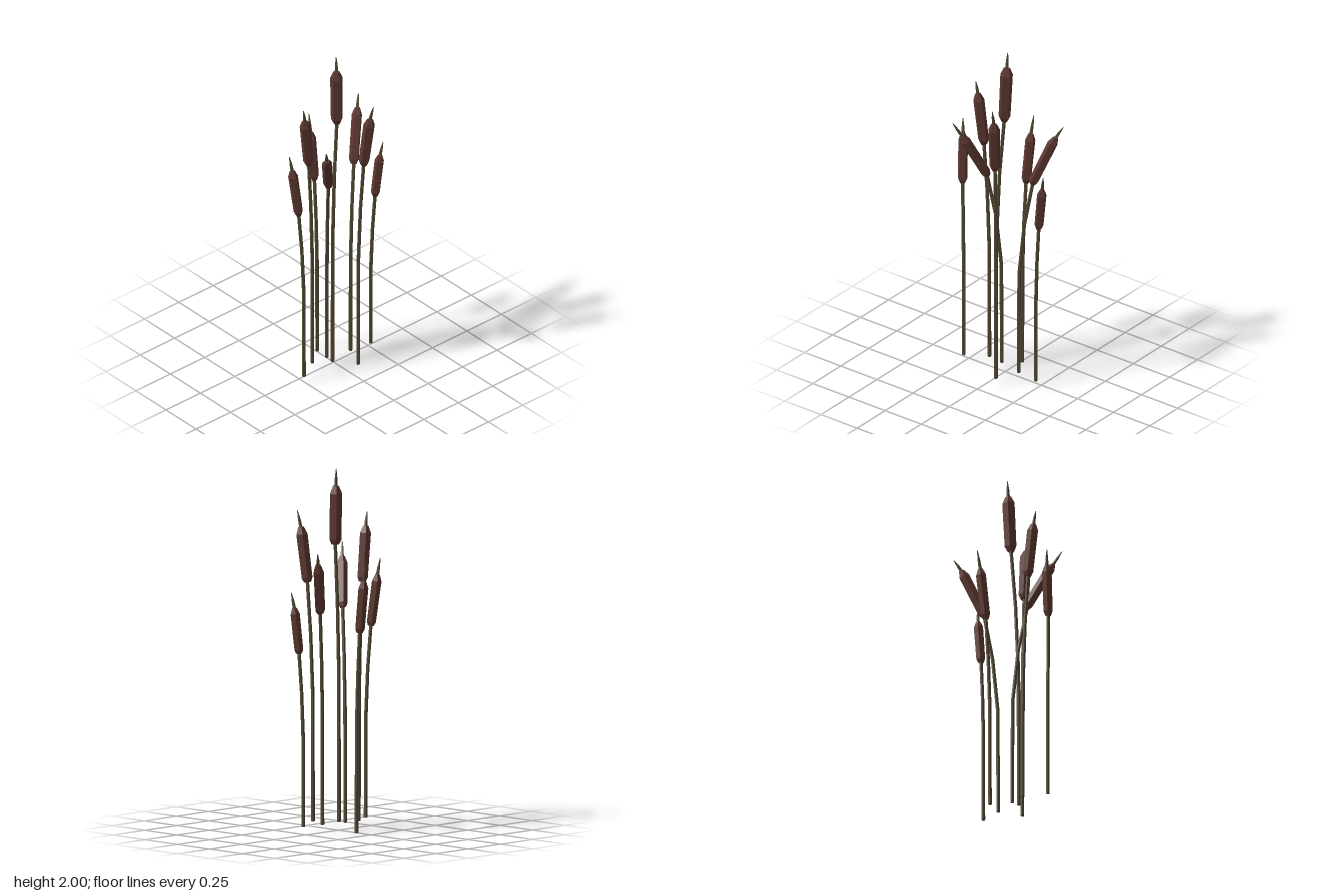
import * as THREE from 'three';

const SIDES = 5;

// Faceted tube through rings of { p, r }, capped at both ends
function sweep(rings) {
  const pos = [], idx = [];
  const n = rings.length;
  rings.forEach(({ p, r }, i) => {
    const t = rings[Math.min(i + 1, n - 1)].p.clone().sub(rings[Math.max(i - 1, 0)].p).normalize();
    const u = new THREE.Vector3(0, 0, 1).addScaledVector(t, -t.z).normalize();
    const v = t.clone().cross(u);
    for (let j = 0; j < SIDES; j++) {
      const a = (j / SIDES) * Math.PI * 2;
      const q = p.clone().addScaledVector(u, Math.cos(a) * r).addScaledVector(v, Math.sin(a) * r);
      pos.push(q.x, q.y, q.z);
    }
  });
  for (let i = 0; i < n - 1; i++) {
    for (let j = 0; j < SIDES; j++) {
      const k = (j + 1) % SIDES;
      const a = i * SIDES + j, b = i * SIDES + k, c = a + SIDES, d = b + SIDES;
      idx.push(a, b, d, a, d, c);
    }
  }
  const top = (n - 1) * SIDES;
  for (let j = 1; j < SIDES - 1; j++) idx.push(0, j + 1, j, top, top + j, top + j + 1);
  const indexed = new THREE.BufferGeometry();
  indexed.setAttribute('position', new THREE.Float32BufferAttribute(pos, 3));
  indexed.setIndex(idx);
  const g = indexed.toNonIndexed(); // separate faces for a faceted look
  g.computeVertexNormals();
  return g;
}

// Each reed: foot, head bottom, head top, tip, head radius
const REEDS = [
  { foot: [-0.253, 0.04, 0.043], low: [-0.275, 1.1, 0.025], high: [-0.295, 1.385, -0.007], tip: [-0.306, 1.475, -0.018], r: 0.028 },
  { foot: [-0.13, 0.04, -0.028], low: [-0.162, 1.36, -0.021], high: [-0.198, 1.665, -0.013], tip: [-0.211, 1.74, -0.01], r: 0.032 },
  { foot: [-0.035, 0.04, -0.016], low: [-0.082, 1.22, 0.05], high: [-0.182, 1.48, 0.153], tip: [-0.218, 1.56, 0.187], r: 0.03 },
  { foot: [-0.037, 0.04, 0.033], low: [0.008, 1.58, 0.018], high: [0.016, 1.905, 0.005], tip: [0.018, 2.0, 0.0], r: 0.036 },
  { foot: [0.007, 0.0, -0.145], low: [0.011, 1.11, -0.172], high: [0.016, 1.4, -0.21], tip: [0.021, 1.51, -0.23], r: 0.029 },
  { foot: [0.05, 0.04, 0.147], low: [0.065, 1.36, 0.175], high: [0.083, 1.665, 0.208], tip: [0.088, 1.755, 0.23], r: 0.033 },
  { foot: [0.107, 0.04, 0.018], low: [0.168, 1.22, -0.025], high: [0.267, 1.505, -0.107], tip: [0.298, 1.57, -0.135], r: 0.03 },
  { foot: [0.239, 0.04, 0.035], low: [0.264, 1.0, 0.042], high: [0.294, 1.255, 0.049], tip: [0.308, 1.34, 0.058], r: 0.027 },
];

export function createModel() {
  const stemMat = new THREE.MeshStandardMaterial({ color: 0x544a34 });
  stemMat.name = 'olive stem';
  const headMat = new THREE.MeshStandardMaterial({ color: 0x5c372f });
  headMat.name = 'brown seed head';

  const model = new THREE.Group();
  model.name = 'reeds';
  REEDS.forEach((reed, i) => {
    const [foot, low, high, tip] = [reed.foot, reed.low, reed.high, reed.tip].map(a => new THREE.Vector3(...a));
    const group = new THREE.Group();
    group.name = `reed${i + 1}`;
    const add = (name, rings, material) => {
      const mesh = new THREE.Mesh(sweep(rings), material);
      mesh.name = name;
      group.add(mesh);
    };
    // Point on the stem: share of the height, share of the lean
    const along = (h, lean) => {
      const p = foot.clone().lerp(low, lean);
      p.y = foot.y + (low.y - foot.y) * h;
      return p;
    };
    const onHead = (f, k) => ({ p: low.clone().lerp(high, f), r: reed.r * k });

    // Straight lower stem that leans over toward the head
    add('stem', [
      { p: foot, r: 0.0105 },
      { p: along(0.52, 0.04), r: 0.0105 },
      { p: along(0.78, 0.42), r: 0.01 },
      { p: low.clone().lerp(high, 0.03), r: 0.01 },
    ], stemMat);
    // Seed head with chamfered ends
    add('seedHead', [onHead(0, 0.6), onHead(0.08, 0.95), onHead(0.87, 1), onHead(1, 0.5)], headMat);
    // Pointed spike on top
    add('spike', [
      { p: high.clone().lerp(low, 0.03), r: 0.01 },
      { p: high.clone().lerp(tip, 0.45), r: 0.008 },
      { p: tip, r: 0.002 },
    ], stemMat);
    model.add(group);
  });
  return model;
}
